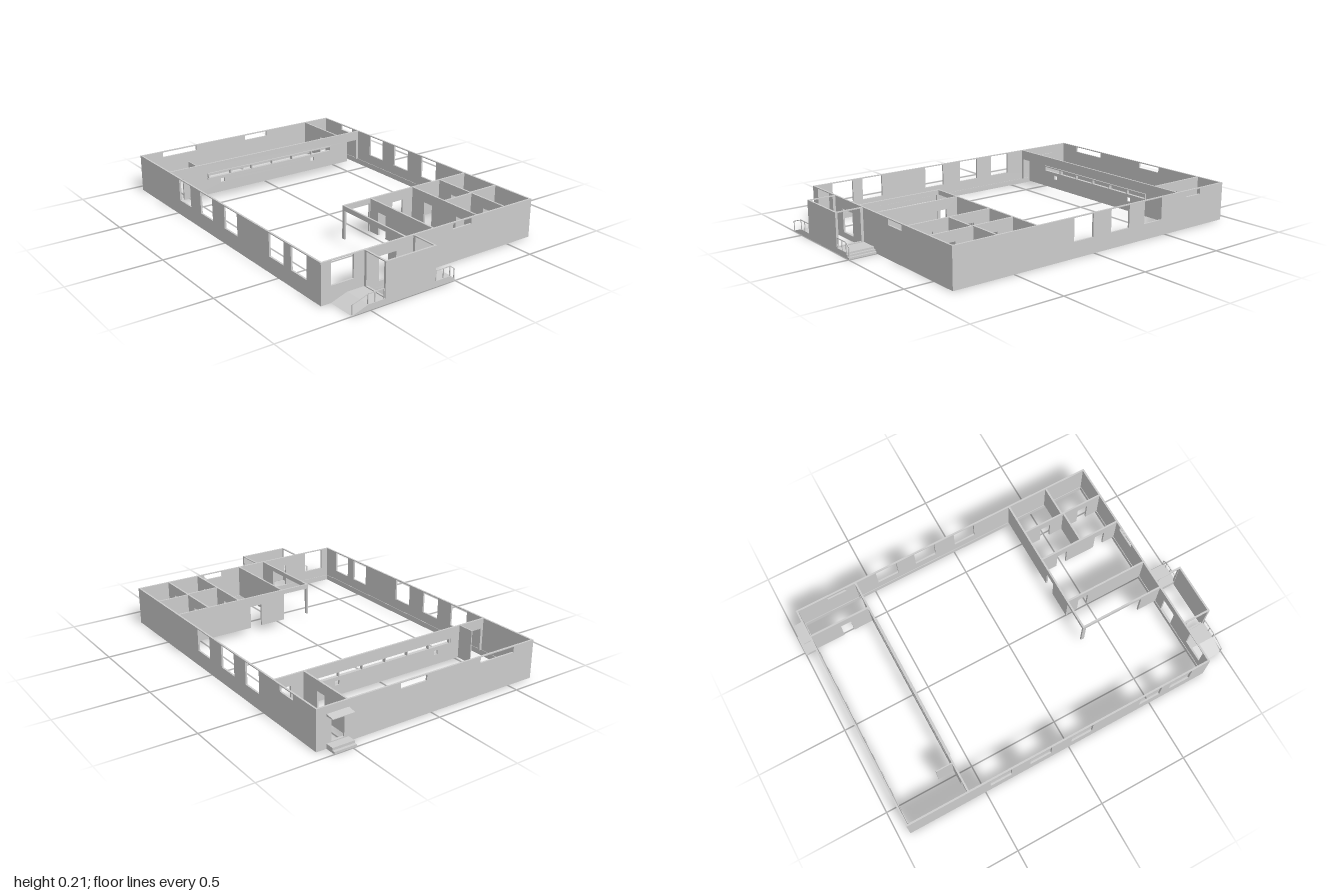
import * as THREE from 'three';

const H = 0.21, FLOOR = 0.03, DOOR = 0.155, T = 0.01;
const mat = new THREE.MeshStandardMaterial({ color: 0xcccccc, flatShading: true, side: THREE.DoubleSide });

export function createModel() {
  const model = new THREE.Group();

  const add = (name, geo, parent = model) => {
    const m = new THREE.Mesh(geo, mat);
    m.name = name;
    parent.add(m);
    return m;
  };

  // Box given by its limits
  const box = (name, x0, x1, y0, y1, z0, z1, parent) =>
    add(name, new THREE.BoxGeometry(x1 - x0, y1 - y0, z1 - z0)
      .translate((x0 + x1) / 2, (y0 + y1) / 2, (z0 + z1) / 2), parent);

  // Upright wall from a to b along 'x' or 'z'; openings are [from, to, bottom, top]
  const wall = (name, axis, a, b, at, openings = [], y0 = FLOOR, t = T) => {
    const s = new THREE.Shape();
    s.moveTo(a, y0);
    for (const [p, q, lo, hi] of [...openings].sort((u, v) => u[0] - v[0])) {
      if (lo <= y0) {
        // doorway cut up from the wall's foot
        s.lineTo(p, y0); s.lineTo(p, hi); s.lineTo(q, hi); s.lineTo(q, y0);
      } else {
        const h = new THREE.Path();
        h.moveTo(p, lo); h.lineTo(p, hi); h.lineTo(q, hi); h.lineTo(q, lo); h.closePath();
        s.holes.push(h);
      }
    }
    s.lineTo(b, y0); s.lineTo(b, H); s.lineTo(a, H); s.closePath();
    const g = new THREE.ExtrudeGeometry(s, { depth: t, bevelEnabled: false }).translate(0, 0, -t / 2);
    if (axis === 'z') g.rotateY(-Math.PI / 2).translate(at, 0, 0);
    else g.translate(0, 0, at);
    return add(name, g);
  };

  const win = (p) => [p, p + 0.125, 0.085, 0.205];
  const slot = (p, q) => [p, q, 0.175, 0.205];
  const door = (p, w = 0.06) => [p, p + w, FLOOR, DOOR];

  // Outer walls
  const L = -0.94, R = 0.845, B = -0.655, F = 0.655, h = T / 2;
  const shared = [-0.468, -0.235, 0.01].map(win);
  wall('frontWall', 'x', L, R, F - h, [...shared, win(0.425), win(0.61)], 0);
  wall('backWall', 'x', L, R, B + h, [...shared, slot(-0.76, -0.65)], 0);
  wall('leftHandWall', 'z', B + T, F - T, L + h, [door(-0.575, 0.07), slot(-0.19, -0.035), slot(0.3, 0.52)], 0);
  wall('rightHandWall', 'z', B + T, F - T, R - h, [slot(-0.24, -0.12), door(0.23, 0.1), win(0.475)], 0);

  // Foundation ledge along the inside of the outer walls
  const e = T + 0.003;
  box('frontLedge', L + T, R - T, 0, FLOOR, F - e, F - T);
  box('backLedge', L + T, R - T, 0, FLOOR, B + T, B + e);
  box('sideLedge', L + T, L + e, 0, FLOOR, B + e, F - e);
  box('sideLedge', R - e, R - T, 0, FLOOR, B + e, F - e);

  // Wing partition with its long serving slot
  const W = -0.59;
  wall('wingPartition', 'z', B + T, F - T, W,
    [door(-0.63, 0.07), door(0.57), [-0.43, 0.42, 0.128, 0.15],
      [-0.31, -0.285, 0.085, 0.108], [0.31, 0.335, 0.085, 0.108]]);
  box('slotSill', W + h, W + 0.013, 0.12, 0.128, -0.43, 0.42);
  box('slotHead', W + h, W + 0.013, 0.15, 0.156, -0.43, 0.42);
  for (let i = 0; i < 7; i++) {
    const z = -0.427 + i * 0.14;
    box('slotPost', W - h, W + 0.012, 0.128, 0.15, z - 0.003, z + 0.003);
  }
  wall('wingBackRoomWall', 'x', L + T, W - h, -0.485, [door(-0.765)]);
  wall('wingStubWall', 'x', -0.685, W - h, 0.48, [], FLOOR, 0.006);

  // Block of small rooms
  const C = 0.355;
  wall('roomBlockWall', 'z', B + T, 0.175, C + h, [door(-0.21, 0.07), [0.01, 0.165, FLOOR, 0.185]]);
  wall('lobbyFrontWall', 'x', C + T, R - T, 0.17, [[C + 0.02, 0.72, FLOOR, 0.185]]);
  wall('lobbyBackWall', 'x', C + T, R - T, 0, [door(0.43)]);
  wall('roomWall', 'x', C + T, R - T, -0.28, [door(0.46), door(0.7)]);
  wall('roomWall', 'x', C + T, R - T, -0.468, [door(0.46), door(0.7)]);
  wall('roomDivider', 'z', B + T, -0.473, 0.595);
  wall('roomDivider', 'z', -0.463, -0.285, 0.605);

  // Entrance vestibule, open at both ends
  const X = 0.998;
  wall('vestibuleSideWall', 'z', 0.12, 0.415, X - h, [], 0);
  for (const z of [0.125, 0.41])
    wall('vestibuleEndWall', 'x', R, X - T, z, [[0.86, 0.985, 0.035, 0.205]], 0);

  // Entrance ramp: profile in z and y, extruded across x
  const ramp = new THREE.Shape([[0.415, 0], [0.6, 0], [0.51, FLOOR], [0.415, FLOOR]]
    .map(([z, y]) => new THREE.Vector2(z, y)));
  add('entranceRamp', new THREE.ExtrudeGeometry(ramp, { depth: X - R, bevelEnabled: false })
    .rotateY(-Math.PI / 2).translate(X, 0, 0));

  // Rear platform with steps
  box('rearPlatform', R, X, 0, FLOOR, 0.024, 0.12);
  box('rearStep', R, X, 0, 0.02, 0.012, 0.024);
  box('rearStep', R, X, 0, 0.01, 0, 0.012);

  // Railings: thin posts and a handrail following the given points [z, foot height]
  const railing = (name, points) => {
    const g = new THREE.Group();
    g.name = name;
    model.add(g);
    const r = 0.002, x = X - 0.004;
    points.forEach(([z, y], i) => {
      box('post', x - r, x + r, y, y + 0.05, z - r, z + r, g);
      if (!i) return;
      const [pz, py] = points[i - 1];
      const rail = add('handrail', new THREE.BoxGeometry(2 * r, 2 * r, Math.hypot(z - pz, y - py)), g);
      rail.position.set(x, (y + py) / 2 + 0.05, (z + pz) / 2);
      rail.rotation.x = -Math.atan2(y - py, z - pz);
    });
  };
  railing('rampRailing', [[0.42, FLOOR], [0.47, FLOOR], [0.51, FLOOR], [0.595, 0.003]]);
  railing('stepRailing', [[0.003, 0.01], [0.03, FLOOR], [0.07, FLOOR], [0.115, FLOOR]]);

  // Side door steps and canopy
  box('sideDoorLowerStep', -1, L, 0, 0.012, -0.6, -0.48);
  box('sideDoorUpperStep', -0.985, L, 0.012, 0.025, -0.6, -0.48);
  const canopy = new THREE.Shape([[-0.985, 0.162], [L, 0.16], [L, 0.172], [-0.985, 0.165]]
    .map(([x, y]) => new THREE.Vector2(x, y)));
  add('sideDoorCanopy', new THREE.ExtrudeGeometry(canopy, { depth: 0.12, bevelEnabled: false })
    .translate(0, 0, -0.6));

  return model;
}
